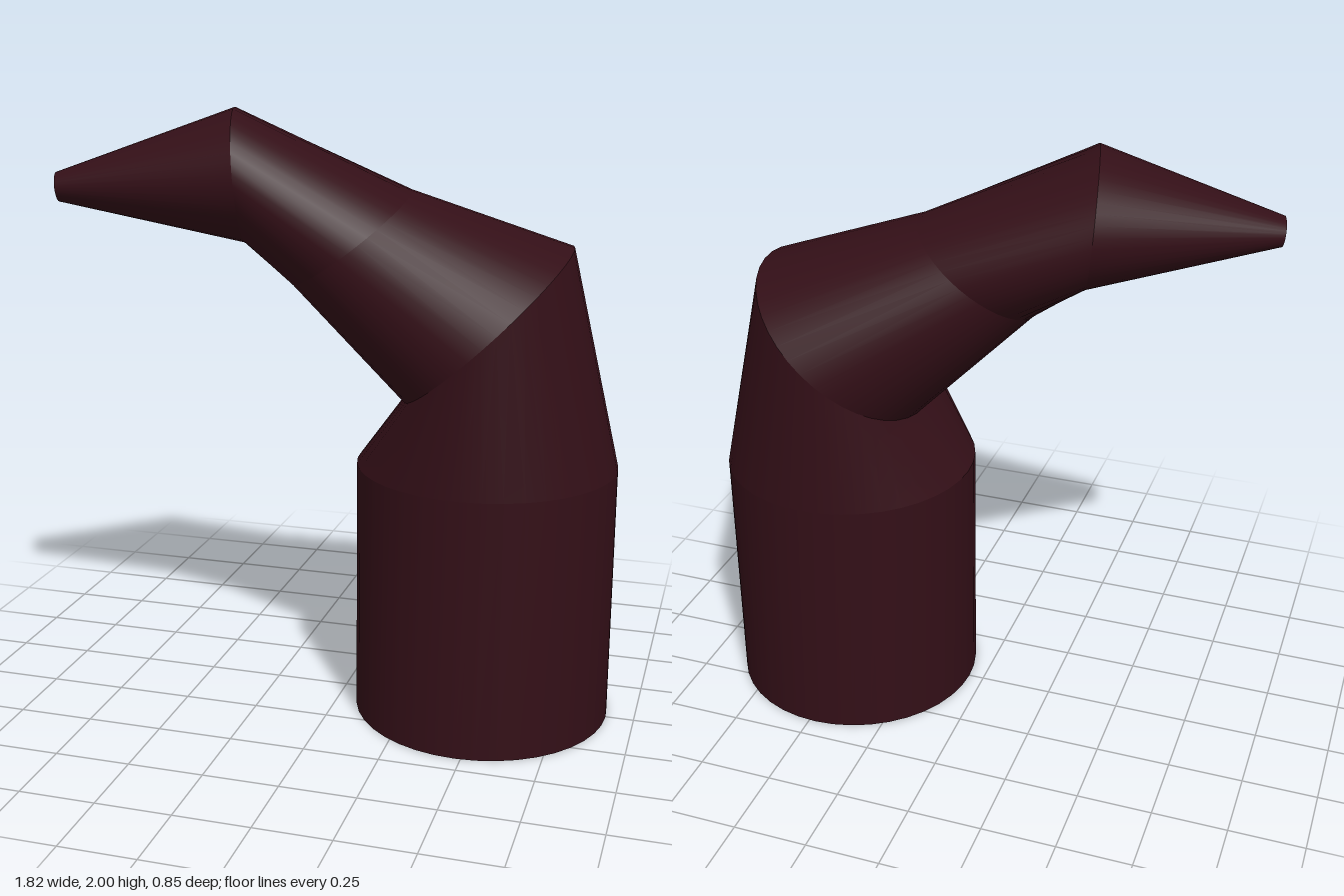
import * as THREE from 'three';

const SIDES = 40;

// Elliptical cross-sections: centre, upper/outer half axis u, sideways half axis v
const RINGS = [
  { c: [0.48, 0, 0], u: [0.427, 0, 0], v: [0, 0, 0.427] },
  { c: [0.48, 0.86, 0], u: [0.427, 0, 0], v: [0, 0, 0.427] },
  { c: [0.475, 1.325, 0], u: [0.265, 0.245, 0], v: [0.02, -0.03, 0.425] },
  { c: [0.035, 1.595, 0.057], u: [0.195, 0.145, 0], v: [0.035, -0.03, 0.285] },
  { c: [-0.325, 1.785, 0.1], u: [-0.015, 0.215, 0.01], v: [0.075, 0, 0.28] },
  { c: [-0.893, 1.747, 0.26], u: [-0.005, 0.047, 0], v: [0.017, 0, 0.06] },
];

const NAMES = ['base', 'lowerBend', 'middleSection', 'upperSection', 'taperedTip'];

function ringPoints({ c, u, v }) {
  const points = [];
  for (let i = 0; i < SIDES; i++) {
    const a = (i / SIDES) * Math.PI * 2;
    for (let k = 0; k < 3; k++) points.push(c[k] + u[k] * Math.cos(a) + v[k] * Math.sin(a));
  }
  return points;
}

function makeGeometry(positions, index) {
  const geometry = new THREE.BufferGeometry();
  geometry.setAttribute('position', new THREE.Float32BufferAttribute(positions, 3));
  geometry.setIndex(index);
  geometry.computeVertexNormals();
  return geometry;
}

// Side wall between two cross-sections, smooth around and creased at its ends
function wall(lower, upper) {
  const index = [];
  for (let i = 0; i < SIDES; i++) {
    const j = (i + 1) % SIDES;
    index.push(i, i + SIDES, j, j, i + SIDES, j + SIDES);
  }
  return makeGeometry([...ringPoints(lower), ...ringPoints(upper)], index);
}

// Flat end closing a cross-section
function cap(ring, atEnd) {
  const index = [];
  for (let i = 0; i < SIDES; i++) {
    const j = (i + 1) % SIDES;
    index.push(SIDES, atEnd ? j : i, atEnd ? i : j);
  }
  return makeGeometry([...ringPoints(ring), ...ring.c], index);
}

export function createModel() {
  const group = new THREE.Group();
  group.name = 'bentTaperedLimb';
  const material = new THREE.MeshStandardMaterial({ color: 0x330f17 });
  const add = (name, geometry) => {
    const mesh = new THREE.Mesh(geometry, material);
    mesh.name = name;
    group.add(mesh);
  };

  // Sections from the foot to the tip
  NAMES.forEach((name, i) => add(name, wall(RINGS[i], RINGS[i + 1])));

  // Closed ends
  add('bottomCap', cap(RINGS[0], false));
  add('tipCap', cap(RINGS[RINGS.length - 1], true));
  return group;
}
